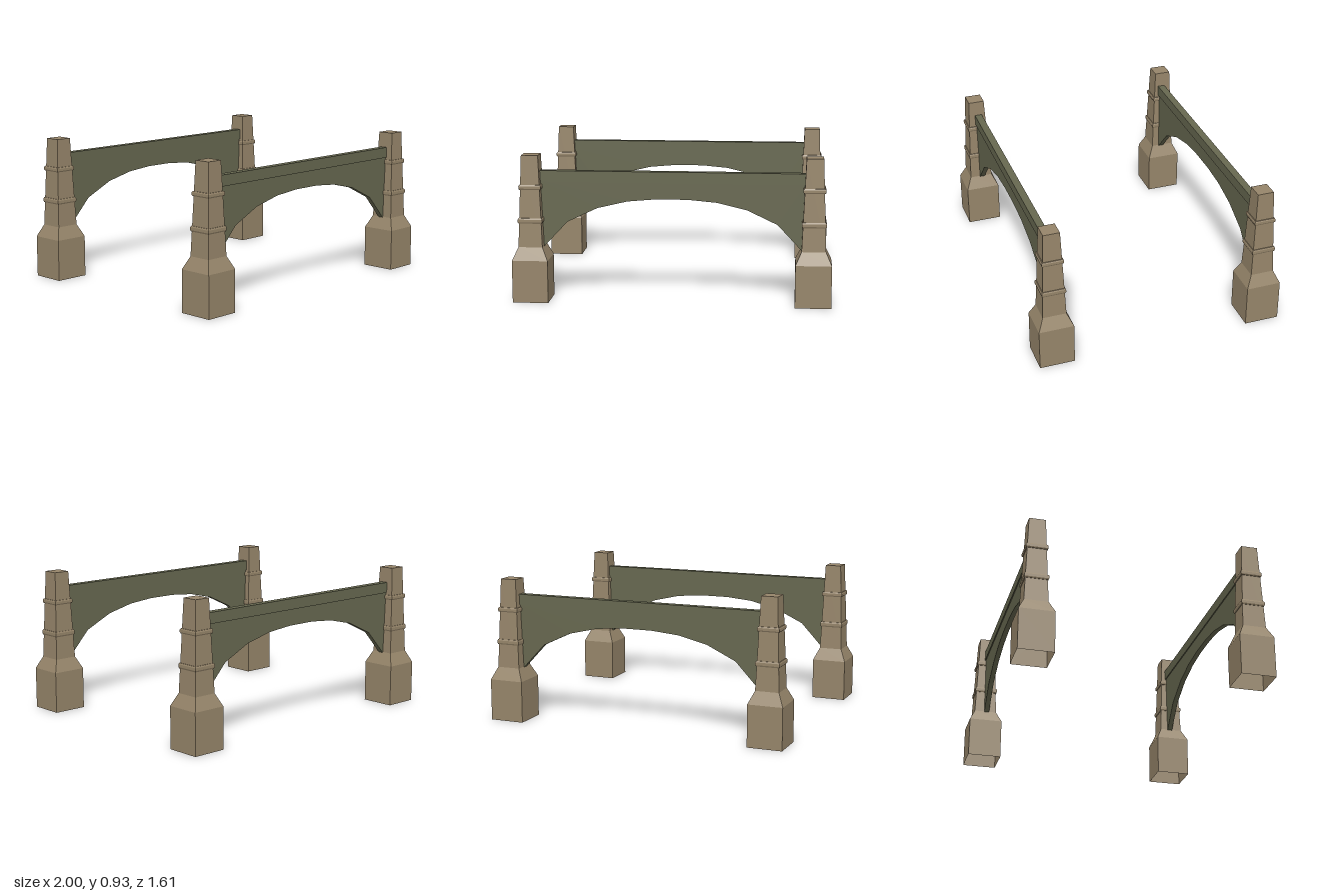
import * as THREE from 'three';

const stone = new THREE.MeshStandardMaterial({ color: 0x96856a, side: THREE.DoubleSide });
stone.name = 'brown stone';
const paint = new THREE.MeshStandardMaterial({ color: 0x676850 });
paint.name = 'olive green';

// Square tapered solid from [half width, height] pairs, open at the bottom
function squareLathe(profile) {
  const points = profile.map(([h, y]) => new THREE.Vector2(h * Math.SQRT2, y));
  const geometry = new THREE.LatheGeometry(points, 4, Math.PI / 4).toNonIndexed();
  geometry.computeVertexNormals();
  return geometry;
}

function add(parent, name, geometry, material) {
  const mesh = new THREE.Mesh(geometry, material);
  mesh.name = name;
  parent.add(mesh);
  return mesh;
}

// Rounded square moulding around the shaft
function ringProfile(y, half, height) {
  const inner = half - 0.016;
  return [
    [inner, y - height / 2], [half - 0.004, y - height / 2], [half, y - height / 4],
    [half, y + height / 4], [half - 0.004, y + height / 2], [inner, y + height / 2],
  ];
}

function createPillar() {
  const pillar = new THREE.Group();
  pillar.name = 'pillar';
  add(pillar, 'base', squareLathe([[0.113, 0], [0.113, 0.27], [0.076, 0.35]]), stone);
  add(pillar, 'shaft', squareLathe([[0.076, 0.35], [0.053, 0.93], [0, 0.93]]), stone);
  add(pillar, 'lowerRing', squareLathe(ringProfile(0.518, 0.077, 0.034)), stone);
  add(pillar, 'upperRing', squareLathe(ringProfile(0.73, 0.07, 0.03)), stone);
  return pillar;
}

function createSpan() {
  const span = new THREE.Group();
  span.name = 'span';

  // Top rail, slightly thicker than the arched panel
  add(span, 'rail', new THREE.BoxGeometry(1.68, 0.07, 0.048), paint).position.y = 0.795;

  // Arched panel, outline mirrored about the middle
  const arch = [[0.81, 0.345], [0.66, 0.505], [0.47, 0.595], [0.28, 0.64], [0.1, 0.656]];
  const outline = [
    [-0.84, 0.77], [-0.825, 0.345],
    ...arch.map(([x, y]) => [-x, y]),
    ...arch.slice().reverse(),
    [0.825, 0.345], [0.84, 0.77],
  ];
  const shape = new THREE.Shape(outline.map(([x, y]) => new THREE.Vector2(x, y)));
  const depth = 0.034;
  const geometry = new THREE.ExtrudeGeometry(shape, { depth, bevelEnabled: false });
  geometry.translate(0, 0, -depth / 2);
  add(span, 'archPanel', geometry, paint);
  return span;
}

export function createModel() {
  const model = new THREE.Group();
  model.name = 'pairOfArchedSpans';
  for (const side of [1, -1]) {
    const span = createSpan();
    span.position.z = side * 0.685;
    model.add(span);
    for (const end of [1, -1]) {
      const pillar = createPillar();
      pillar.position.set(end * 0.887, 0, side * 0.694);
      model.add(pillar);
    }
  }
  return model;
}
